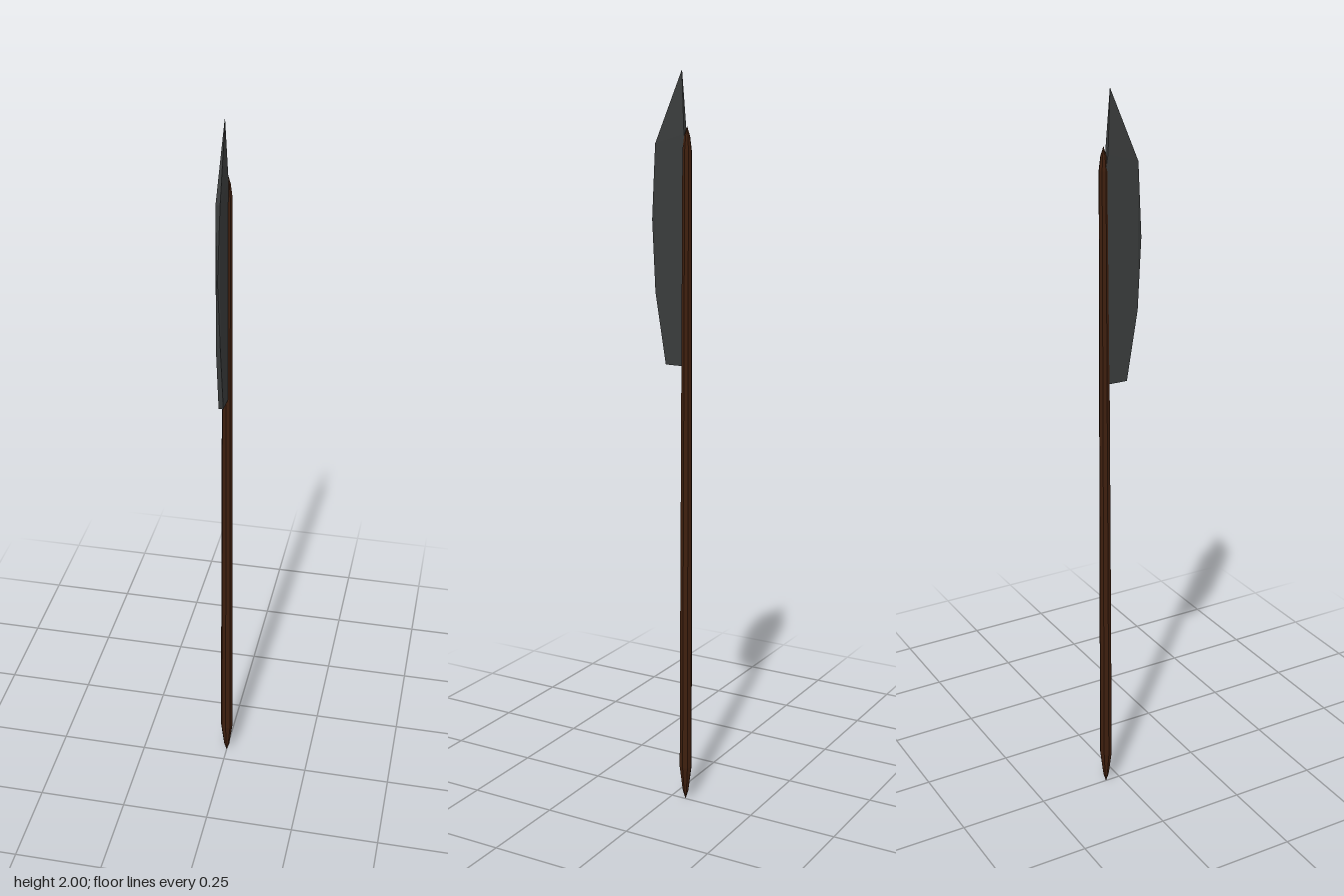
import * as THREE from 'three';

const SHAFT_Z = -0.044;

function makeShaft() {
  // tapered eight-sided pole, pointed at both ends
  const profile = [[0, 0], [0.008, 0.025], [0.0175, 0.1], [0.0165, 0.56], [0.0125, 1.8], [0.008, 1.835], [0, 1.86]];
  const geometry = new THREE.LatheGeometry(profile.map(([r, y]) => new THREE.Vector2(r, y)), 8);
  const shaft = new THREE.Mesh(geometry, new THREE.MeshStandardMaterial({ color: 0x3e1f0e, flatShading: true }));
  shaft.position.z = SHAFT_Z;
  shaft.name = 'shaft';
  return shaft;
}

function makeBlade() {
  // outline as (z, y): straight back against the pole, bowed cutting edge
  const outline = [[-0.044, 1.24], [0.018, 1.24], [0.05, 1.43], [0.062, 1.62], [0.05, 1.815],
    [-0.027, 2], [-0.037, 1.84], [-0.044, 1.8]];
  const shape = new THREE.Shape(outline.map(([z, y]) => new THREE.Vector2(z, y)));
  const geometry = new THREE.ExtrudeGeometry(shape, { depth: 1, bevelEnabled: false });
  geometry.rotateY(-Math.PI / 2);

  // thin the slab towards the cutting edge and the tip
  const p = geometry.attributes.position;
  for (let i = 0; i < p.count; i++) {
    const y = p.getY(i), z = p.getZ(i);
    let centre = -0.003 - 0.015 * (z - SHAFT_Z);
    let half = 0.0075 - 0.02 * (z - SHAFT_Z);
    if (z > 0.055) half = 0.0015;
    if (y > 1.9) { half = 0.0005; centre = -0.003; }
    p.setX(i, centre + (p.getX(i) < -0.5 ? -half : half));
  }
  geometry.computeVertexNormals();
  const blade = new THREE.Mesh(geometry, new THREE.MeshStandardMaterial({ color: 0x3a3c3c, flatShading: true }));
  blade.name = 'blade';
  return blade;
}

export function createModel() {
  const model = new THREE.Group();
  model.name = 'polearm';
  model.add(makeShaft(), makeBlade());
  return model;
}
